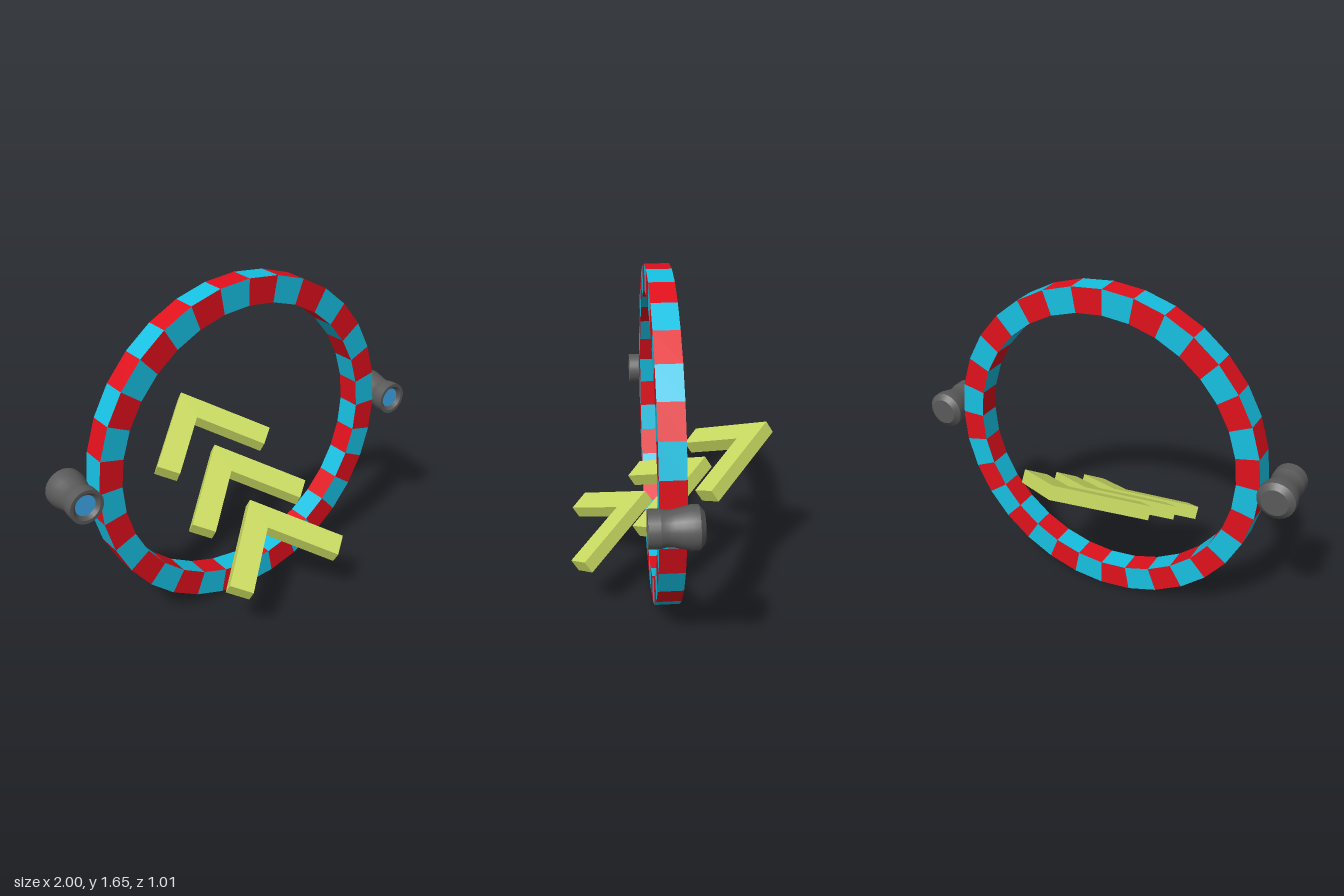
import * as THREE from 'three';

const CENTRE_Y = 0.824;
const SEGMENTS = 32;
const Z_BACK = 0, Z_FRONT = 0.118;

const material = (color, extra = {}) => new THREE.MeshStandardMaterial({ color, ...extra });

function mesh(name, geometry, mat) {
  const m = new THREE.Mesh(geometry, mat);
  m.name = name;
  return m;
}

// Square-section hoop, each side checkered in two colours
function createRing() {
  const ring = new THREE.Group();
  ring.name = 'ring';
  ring.position.y = CENTRE_Y;
  const outer = [0.817, 0.824], inner = [0.7, 0.697];
  // Corners of the square section, in order: front, outer, back, inner sides
  const corners = [[inner, Z_FRONT], [outer, Z_FRONT], [outer, Z_BACK], [inner, Z_BACK]];
  const positions = [[], []];
  const point = (corner, i) => {
    const a = (i / SEGMENTS) * Math.PI * 2;
    const [[rx, ry], z] = corners[corner];
    return [Math.sin(a) * rx, Math.cos(a) * ry, z];
  };
  for (let i = 0; i < SEGMENTS; i++) {
    for (let side = 0; side < 4; side++) {
      const next = (side + 1) % 4;
      const a = point(side, i), b = point(next, i);
      const c = point(next, i + 1), d = point(side, i + 1);
      positions[(i + side) % 2].push(...a, ...c, ...b, ...a, ...d, ...c);
    }
  }
  const colors = [['redChecks', 0xe0101c], ['blueChecks', 0x16c0e2]];
  colors.forEach(([name, color], k) => {
    const g = new THREE.BufferGeometry();
    g.setAttribute('position', new THREE.Float32BufferAttribute(positions[k], 3));
    g.computeVertexNormals();
    ring.add(mesh(name, g, material(color, { flatShading: true })));
  });
  return ring;
}

// Thruster: turned body with a waist, and a lit lens set in its front
function createThruster(side) {
  const thruster = new THREE.Group();
  thruster.name = side > 0 ? 'leftThruster' : 'rightThruster';
  // Smooth runs of [radius, z], split where the edge is sharp
  const runs = [
    [[0, -0.06], [0.066, -0.06]],
    [[0.066, -0.06], [0.093, -0.038]],
    [[0.093, -0.038], [0.094, -0.005], [0.086, 0.03], [0.078, 0.065], [0.076, 0.095], [0.082, 0.12]],
    [[0.082, 0.12], [0.082, 0.172]],
    [[0.082, 0.172], [0.066, 0.172]],
    [[0.066, 0.172], [0.05, 0.155]],
  ];
  const grey = material(0x5a5a5a);
  for (const run of runs) {
    const g = new THREE.LatheGeometry(run.map(([r, z]) => new THREE.Vector2(r, z)), 24);
    g.rotateX(Math.PI / 2);
    thruster.add(mesh('thrusterBody', g, grey));
  }
  const lens = mesh('lens', new THREE.CircleGeometry(0.05, 24), material(0x3fa9ee));
  lens.position.z = 0.155;
  thruster.add(lens);
  thruster.position.set(side * 0.906, CENTRE_Y, 0);
  return thruster;
}

// Three arrow plates climbing a slope through the hoop
function createChevrons() {
  const chevrons = new THREE.Group();
  chevrons.name = 'chevrons';
  const half = [[0, 0], [0.35, -0.361], [0.262, -0.439], [0, -0.169]];
  const outline = [...half, [-0.262, -0.439], [-0.35, -0.361]];
  const thickness = 0.067;
  const g = new THREE.ExtrudeGeometry(
    new THREE.Shape(outline.map(([x, y]) => new THREE.Vector2(x, y))),
    { depth: thickness, bevelEnabled: false });
  g.translate(0, 0, -thickness);
  const mat = material(0xccdd62, { flatShading: true });
  const slope = THREE.MathUtils.degToRad(31);
  for (let i = 0; i < 3; i++) {
    const chevron = mesh('chevron', g, mat);
    chevron.rotation.x = slope - Math.PI / 2;
    chevron.position.set(0, 0.872 - 0.18 * i, -0.466 + 0.3 * i);
    chevrons.add(chevron);
  }
  return chevrons;
}

export function createModel() {
  const model = new THREE.Group();
  model.name = 'boostRing';
  model.add(createRing(), createThruster(1), createThruster(-1), createChevrons());
  return model;
}
